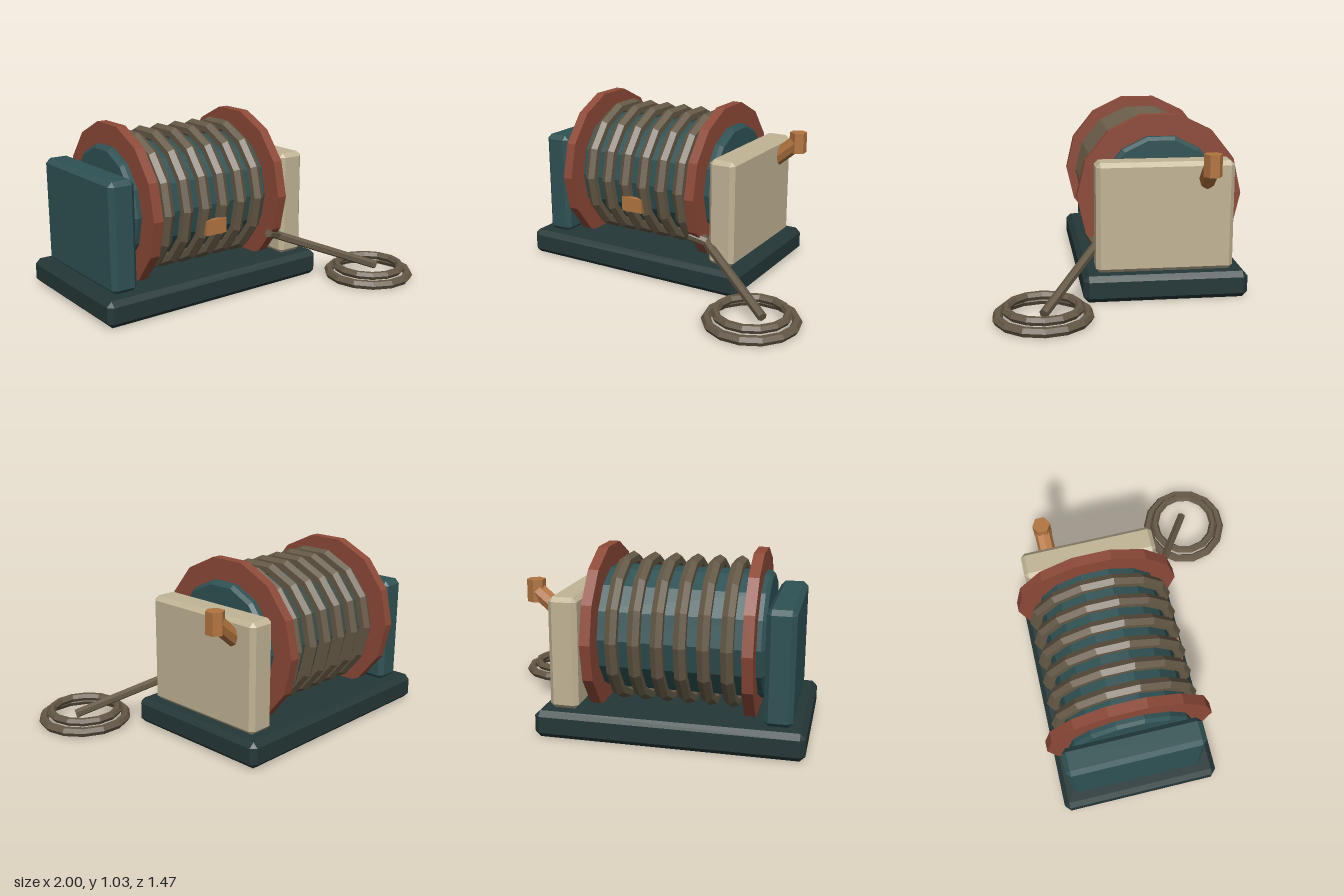
import * as THREE from 'three';
import { ConvexGeometry } from 'three/addons/geometries/ConvexGeometry.js';

const SIDES = 14;
const AXIS_Y = 0.56, AXIS_Z = -0.245;

function material(name, color) {
  const m = new THREE.MeshStandardMaterial({ color });
  m.name = name;
  return m;
}

// Faceted copy of a geometry: one normal per face
function faceted(geometry) {
  const g = geometry.index ? geometry.toNonIndexed() : geometry;
  g.computeVertexNormals();
  return g;
}

// Box with every edge cut at an angle
function chamferBox(w, h, d, c) {
  const points = [];
  for (const x of [-1, 1]) for (const y of [-1, 1]) for (const z of [-1, 1]) {
    const p = [x * w / 2, y * h / 2, z * d / 2];
    const q = [x * (w / 2 - c), y * (h / 2 - c), z * (d / 2 - c)];
    points.push(
      new THREE.Vector3(p[0], q[1], q[2]),
      new THREE.Vector3(q[0], p[1], q[2]),
      new THREE.Vector3(q[0], q[1], p[2]));
  }
  return new ConvexGeometry(points);
}

// Straight rod between two points
function rod(a, b, radius, sides) {
  const from = new THREE.Vector3(...a), to = new THREE.Vector3(...b);
  const dir = to.clone().sub(from);
  const g = new THREE.CylinderGeometry(radius, radius, dir.length(), sides);
  g.applyQuaternion(new THREE.Quaternion().setFromUnitVectors(new THREE.Vector3(0, 1, 0), dir.normalize()));
  g.translate(...from.add(to).multiplyScalar(0.5).toArray());
  return g;
}

export function createModel() {
  const model = new THREE.Group();
  model.name = 'winch';
  const darkTeal = material('dark teal', 0x253738);
  const teal = material('teal', 0x2f5254);
  const cream = material('cream', 0xc2b596);
  const rust = material('rust', 0x8e4a38);
  const ropeBrown = material('rope brown', 0x655946);
  const copper = material('copper', 0xb37540);

  function add(name, geometry, mat, x = 0, y = 0, z = 0) {
    const mesh = new THREE.Mesh(faceted(geometry), mat);
    mesh.name = name;
    mesh.position.set(x, y, z);
    model.add(mesh);
    return mesh;
  }

  // Base and side housings
  add('base', chamferBox(1.5, 0.155, 0.95, 0.03), darkTeal, -0.25, 0.08, -0.247);
  add('rightHousing', chamferBox(0.16, 0.64, 0.795, 0.027), teal, -0.845, 0.475, -0.25);
  add('leftHousing', chamferBox(0.165, 0.64, 0.795, 0.025), cream, 0.348, 0.475, -0.247);

  // Drum with chamfered ends, lying along x
  const profile = [[0, -0.515], [0.34, -0.515], [0.36, -0.495], [0.36, 0.495], [0.34, 0.515], [0, 0.515]];
  const drum = new THREE.LatheGeometry(profile.map(p => new THREE.Vector2(...p)), SIDES);
  add('drum', drum.rotateZ(Math.PI / 2), teal, -0.245, AXIS_Y, AXIS_Z);

  // Flanges
  for (const x of [-0.685, 0.19]) {
    const flange = new THREE.CylinderGeometry(0.487, 0.487, 0.06, SIDES).rotateZ(Math.PI / 2);
    add('flange', flange, rust, x, AXIS_Y, AXIS_Z);
  }

  // Rope turns on the drum
  for (let i = 0; i < 6; i++) {
    const turn = new THREE.TorusGeometry(0.396, 0.038, 6, SIDES).rotateY(Math.PI / 2);
    add('ropeTurn', turn, ropeBrown, -0.566 + i * 0.127, AXIS_Y, AXIS_Z);
  }

  // Tag on the front of the rope
  add('tag', new THREE.BoxGeometry(0.14, 0.09, 0.03), copper, -0.25, 0.44, 0.162);

  // Rope leading off the drum to the floor coil
  add('ropeStart', rod([0.15, 0.32, 0.165], [0.25, 0.285, 0.135], 0.027, 6), ropeBrown);
  add('ropeLead', rod([0.2, 0.302, 0.1], [0.785, 0.066, 0.467], 0.027, 6), ropeBrown);
  [[0.248, 0.028, 0.036], [0.2, 0.025, 0.078]].forEach(([radius, tube, y]) => {
    const coil = new THREE.TorusGeometry(radius, tube, 6, SIDES).rotateX(Math.PI / 2);
    add('floorCoil', coil, ropeBrown, 0.72, y, 0.467);
  });

  // Crank arm and grip
  add('crankArm', rod([0.4, 0.675, -0.483], [0.55, 0.8, -0.483], 0.05, 8), copper);
  add('crankGrip', new THREE.CylinderGeometry(0.053, 0.053, 0.127, 6), copper, 0.548, 0.797, -0.483);

  return model;
}
